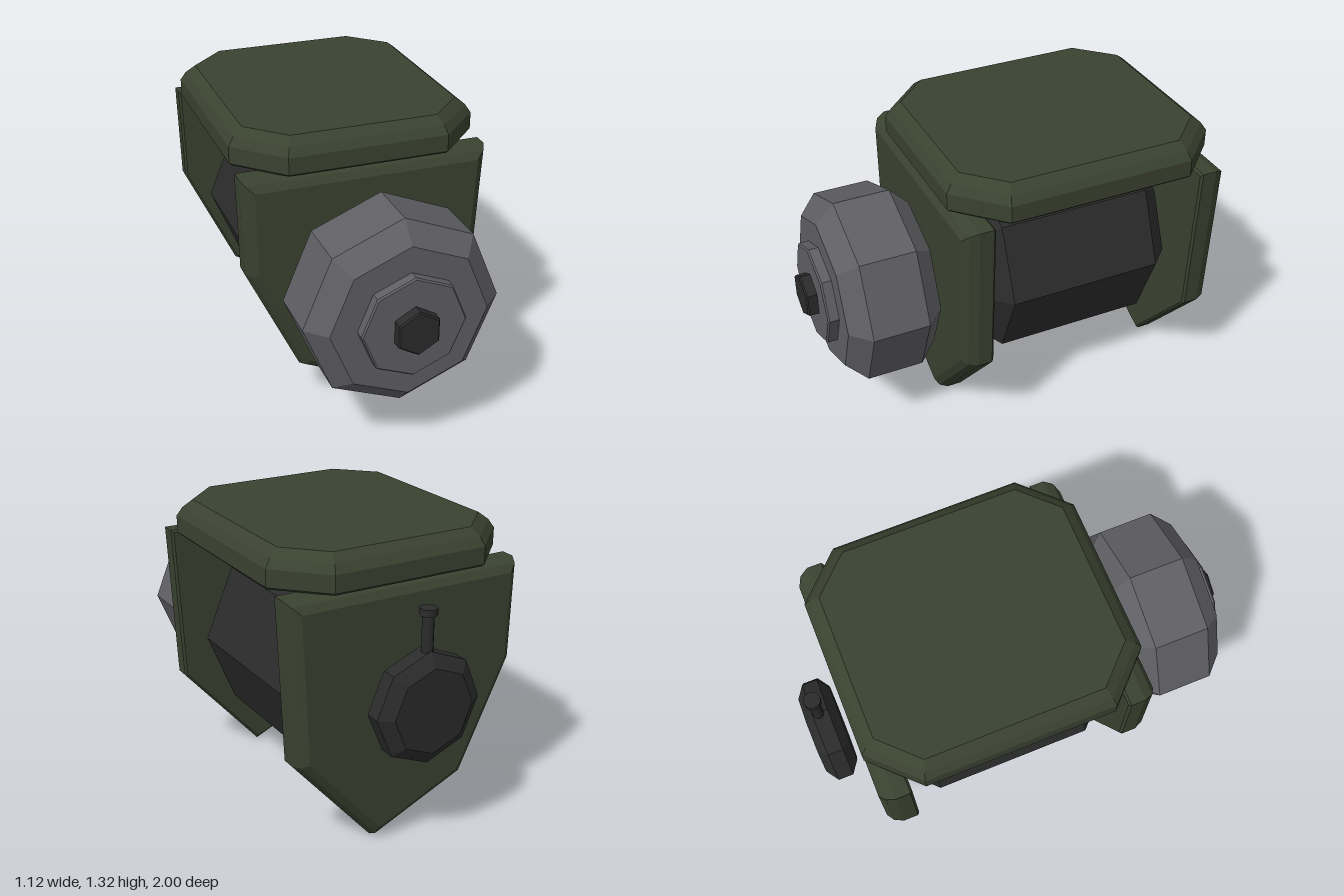
import * as THREE from 'three';
import { toCreasedNormals } from 'three/addons/utils/BufferGeometryUtils.js';

const mat = (name, color) => Object.assign(new THREE.MeshStandardMaterial({ color }), { name });

// Regular polygon with a corner at the top, counter-clockwise
function polygon(n, r, cx = 0, cy = 0) {
  return Array.from({ length: n }, (_, i) => {
    const a = Math.PI / 2 + (i / n) * Math.PI * 2;
    return [cx + r * Math.cos(a), cy + r * Math.sin(a)];
  });
}

// Moves every edge of a convex counter-clockwise outline inwards by d
function inset(pts, d) {
  const n = pts.length;
  const normal = (a, b) => {
    const l = Math.hypot(b[0] - a[0], b[1] - a[1]);
    return [-(b[1] - a[1]) / l, (b[0] - a[0]) / l];
  };
  return pts.map((p, i) => {
    const u = normal(pts[(i + n - 1) % n], p);
    const v = normal(p, pts[(i + 1) % n]);
    const k = d / (1 + u[0] * v[0] + u[1] * v[1]);
    return [p[0] + (u[0] + v[0]) * k, p[1] + (u[1] + v[1]) * k];
  });
}

// Closed solid through outlines stacked along +z: [[outline, z], ...]
function loft(rings) {
  const n = rings[0][0].length;
  const pos = rings.flatMap(([pts, z]) => pts.flatMap(([x, y]) => [x, y, z]));
  const idx = [];
  for (let r = 0; r < rings.length - 1; r++) {
    for (let i = 0; i < n; i++) {
      const a = r * n + i, b = r * n + (i + 1) % n;
      idx.push(a, b, b + n, a, b + n, a + n);
    }
  }
  const top = (rings.length - 1) * n;
  for (let i = 1; i < n - 1; i++) {
    idx.push(0, i + 1, i);
    idx.push(top, top + i, top + i + 1);
  }
  const g = new THREE.BufferGeometry();
  g.setAttribute('position', new THREE.Float32BufferAttribute(pos, 3));
  g.setIndex(idx);
  return toCreasedNormals(g, 0.05);
}

export function createModel() {
  const model = new THREE.Group();
  model.name = 'mountedDrum';
  const green = mat('olive green', 0x3a4230);
  const grey = mat('steel grey', 0x5f5e63);
  const dark = mat('dark metal', 0x2b2b2b);
  const axisY = 0.66;

  const add = (name, geometry, material) => {
    const mesh = new THREE.Mesh(geometry, material);
    mesh.name = name;
    model.add(mesh);
    return mesh;
  };
  // Faceted solid round the main axis: steps are [radius, z]
  const turned = (name, n, steps, material) =>
    add(name, loft(steps.map(([r, z]) => [polygon(n, r, 0, axisY), z])), material);

  // End plates, with the wide bevel on the outer face
  const plate = [[-0.56, 1.16], [-0.55, 0.71], [-0.31, 0.2], [0.14, 0], [0.52, 0.43], [0.56, 1.16]];
  const bevel = [[0.01, 0], [0, 0.01], [0, 0.075], [0.018, 0.115], [0.05, 0.137]];
  add('frontPlate', loft(bevel.map(([d, z]) => [inset(plate, d), 0.3 + z])), green);
  add('backPlate', loft([...bevel].reverse().map(([d, z]) => [inset(plate, d), -0.675 - z])), green);

  // Roof slab with cut corners, drawn flat and laid down
  const w = 0.56, f = -0.435, b = 0.815, c = 0.2;
  const slab = [
    [-w + c, f], [w - c, f], [w, f + c], [w, b - c],
    [w - c, b], [-w + c, b], [-w, b - c], [-w, f + c],
  ];
  const roofSteps = [[0.01, 1.163], [0, 1.173], [0, 1.25], [0.025, 1.288], [0.068, 1.322]];
  const roof = loft(roofSteps.map(([d, y]) => [inset(slab, d), y]));
  roof.rotateX(-Math.PI / 2);
  add('roof', roof, green);

  // Main drum between the plates
  turned('drum', 8, [[0.37, -0.635], [0.46, -0.545], [0.46, 0.17], [0.37, 0.26]], dark);

  // Front hub, washer and bolt
  turned('hub', 8, [[0.35, 0.475], [0.437, 0.56], [0.437, 0.815], [0.35, 0.9]], grey);
  turned('washer', 8, [[0.232, 0.895], [0.232, 0.943], [0.225, 0.95]], grey);
  turned('bolt', 6, [[0.103, 0.945], [0.103, 0.993], [0.096, 1]], dark);

  // Rear valve disc with its pin
  turned('rearDisc', 8, [[0.19, -1], [0.25, -0.96], [0.25, -0.89], [0.19, -0.85]], dark);
  const pin = (name, r, y0, y1) => {
    const g = toCreasedNormals(new THREE.CylinderGeometry(r, r, y1 - y0, 12), 0.7);
    add(name, g, dark).position.set(0, (y0 + y1) / 2, -0.933);
  };
  pin('pinShaft', 0.025, 0.86, 1.07);
  pin('pinHead', 0.038, 1.06, 1.09);

  return model;
}
